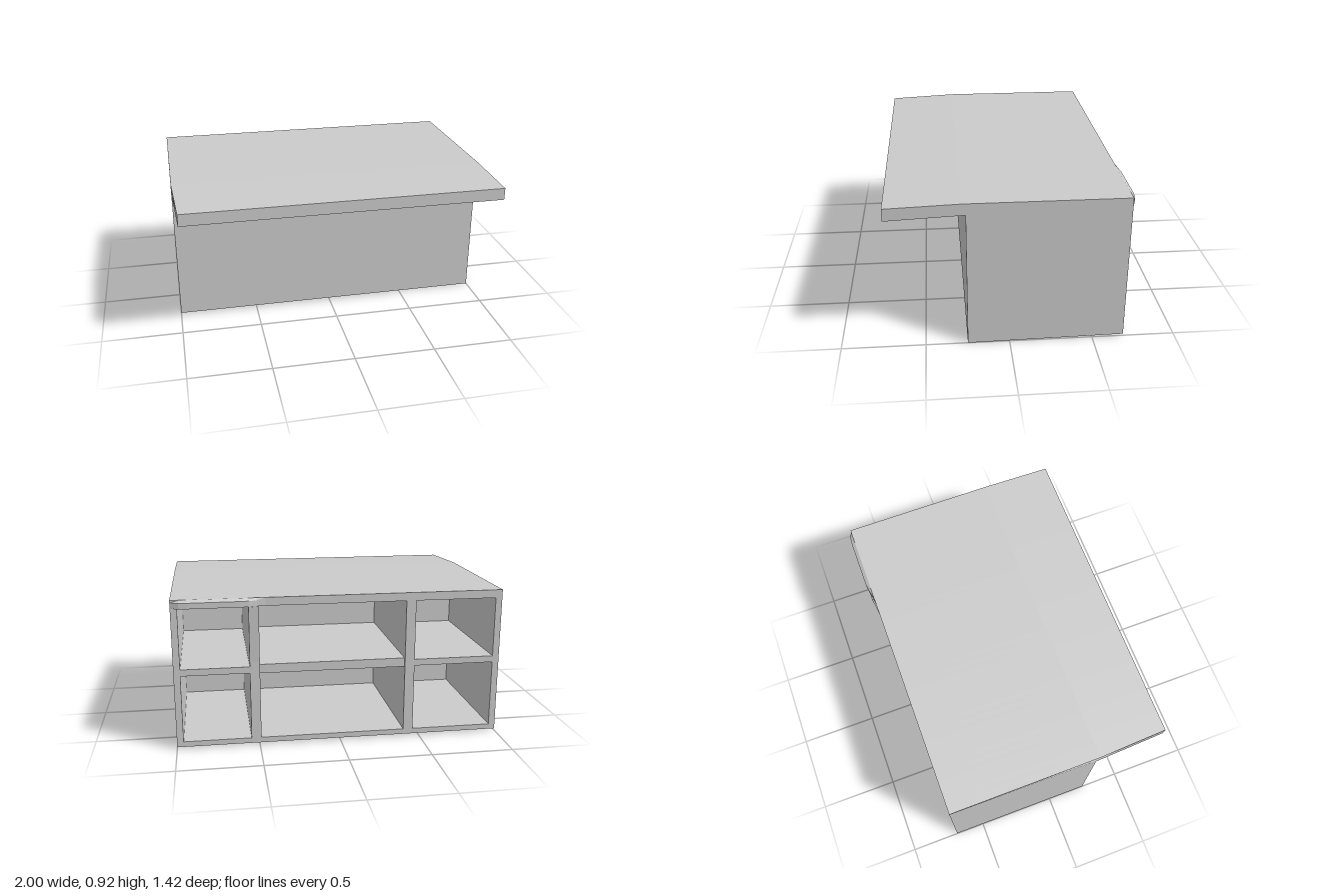
import * as THREE from 'three';

const BACK = -0.69, FRONT = 0.25, WALL = 0.04;
const CEIL = 0.87, SHELF_Y = 0.48;

const material = new THREE.MeshStandardMaterial({ color: 0xcccccc });

// Extrudes a side profile of [z, y] points along x, from x0 to x1.
function profilePart(name, points, x0, x1, steps = 1) {
  const shape = new THREE.Shape(points.map(([z, y]) => new THREE.Vector2(z, y)));
  const geometry = new THREE.ExtrudeGeometry(shape, { depth: x1 - x0, steps, bevelEnabled: false });
  geometry.rotateY(-Math.PI / 2).translate(x1, 0, 0);
  const mesh = new THREE.Mesh(geometry, material);
  mesh.name = name;
  return mesh;
}

// Height of the underside, which rises slightly towards the back.
const baseY = z => 0.012 * (FRONT - z) / (FRONT - BACK);

export function createModel() {
  const model = new THREE.Group();
  model.name = 'counter';
  const inner = FRONT - WALL;

  // Worktop with a drooping front overhang
  const top = profilePart('worktop', [
    [0.71, 0.905], [0.27, 0.92], [BACK, 0.92], [BACK, 0.905], [BACK, CEIL],
    [inner, CEIL], [inner, 0.85], [FRONT, 0.85], [0.71, 0.83],
  ], -1, 1, 40);
  const p = top.geometry.attributes.position;
  for (let i = 0; i < p.count; i++) {
    const x = p.getX(i), y = p.getY(i), z = p.getZ(i);
    // slightly narrowed corner of the overhang
    if (x < -0.99 && z > FRONT) p.setX(i, x + 0.022 * (z - FRONT) / 0.46);
    // swollen stretch of the back edge
    if (z < BACK + 0.01 && y < 0.915) {
      const swell = Math.min((x - 0.47) / 0.1, (1 - x) / 0.06);
      p.setZ(i, z - 0.022 * THREE.MathUtils.clamp(swell, 0, 1));
    }
  }
  top.geometry.computeVertexNormals();
  model.add(top);

  // Front panel and floor
  model.add(profilePart('frontPanel', [
    [inner, baseY(inner)], [FRONT, 0], [FRONT, 0.85], [inner, 0.85],
  ], -1, 1));
  model.add(profilePart('floor', [
    [BACK, baseY(BACK)], [inner, baseY(inner)], [inner, 0.045], [BACK, 0.045],
  ], -1, 1));

  // End walls
  const wall = [[BACK, 0.045], [inner, 0.045], [inner, CEIL], [BACK, CEIL]];
  model.add(profilePart('rightWall', wall, -1, -1 + WALL));
  model.add(profilePart('leftWall', wall, 1 - WALL, 1));

  // Upright dividers; the left one leans out a little near the top
  model.add(profilePart('rightDivider', wall, -0.46, -0.4));
  model.add(profilePart('leftDivider', [
    [BACK, 0.045], [inner, 0.045], [inner, CEIL], [BACK - 0.015, CEIL], [BACK, 0.53],
  ], 0.49, 0.55));

  // One shelf in each bay
  const shelves = [
    ['rightShelf', -1 + WALL, -0.46, 0.04, 0],
    ['middleShelf', -0.4, 0.49, 0.055, 0.015],
    ['leftShelf', 0.55, 1 - WALL, 0.04, 0],
  ];
  for (const [name, x0, x1, t, inset] of shelves) {
    const z0 = BACK + inset, y0 = SHELF_Y - t / 2, y1 = SHELF_Y + t / 2;
    model.add(profilePart(name, [[z0, y0], [inner, y0], [inner, y1], [z0, y1]], x0, x1));
  }
  return model;
}
